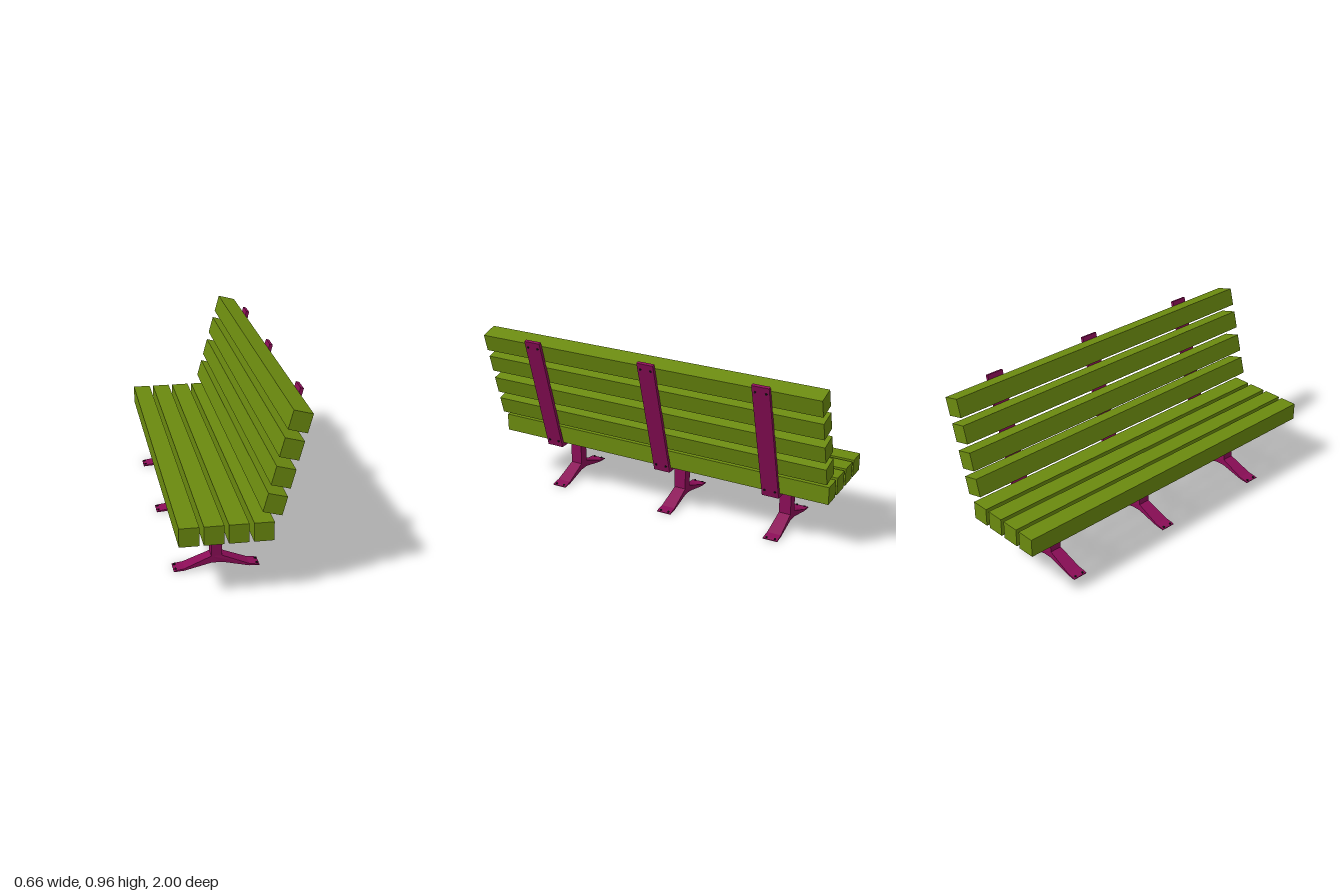
import * as THREE from 'three';

const WOOD = new THREE.MeshStandardMaterial({ color: 0x6b8a0f, flatShading: true });
const METAL = new THREE.MeshStandardMaterial({ color: 0x8b0d57, flatShading: true });
const BOLT = new THREE.MeshStandardMaterial({ color: 0x161616, flatShading: true });

const LEAN = THREE.MathUtils.degToRad(15);
const PLATE_W = 0.096;
const POST_X = -0.096;

function add(parent, name, geometry, material, x = 0, y = 0, z = 0, tilt = 0) {
  const mesh = new THREE.Mesh(geometry, material);
  mesh.name = name;
  mesh.position.set(x, y, z);
  mesh.rotation.z = tilt;
  parent.add(mesh);
  return mesh;
}

// Extrudes an xy outline, centred on z
function profile(points, width) {
  const shape = new THREE.Shape(points.map(([x, y]) => new THREE.Vector2(x, y)));
  const g = new THREE.ExtrudeGeometry(shape, { depth: width, bevelEnabled: false });
  return g.translate(0, 0, -width / 2);
}

// Arched foot that widens towards its tips
function footGeometry() {
  const half = [[0.028, 0.071], [0.168, 0.014], [0.21, 0.008], [0.223, 0.004],
    [0.223, 0], [0.168, 0.003], [0.028, 0.033]];
  const left = half.map(([x, y]) => [-x, y]).reverse();
  const g = profile([...half, ...left], 0.068);
  const p = g.attributes.position;
  for (let i = 0; i < p.count; i++) {
    const reach = Math.max(0, Math.abs(p.getX(i)) - 0.028) / 0.195;
    p.setZ(i, p.getZ(i) * (1 + 0.25 * reach));
  }
  g.computeVertexNormals();
  return g;
}

function createSupport() {
  const support = new THREE.Group();
  support.name = 'support';

  add(support, 'foot', footGeometry(), METAL, POST_X);
  add(support, 'post', new THREE.BoxGeometry(0.056, 0.235, 0.068), METAL, POST_X, 0.1575);

  // Bent strap under the seat and up behind the backrest
  add(support, 'strap', profile([[-0.29, 0.272], [0.146, 0.272], [0.33, 0.958],
    [0.313, 0.963], [0.134, 0.297], [-0.29, 0.297]], PLATE_W), METAL);

  // Bolt pairs: x, y, tilt, spread
  const bolts = [
    [-0.308, 0.008, 0.15, 0.024], [0.115, 0.008, -0.15, 0.024],
    [-0.26, 0.27, 0, 0.03], [0.085, 0.27, 0, 0.03],
    [0.157, 0.31, Math.PI / 2 - LEAN, 0.03], [0.321, 0.923, Math.PI / 2 - LEAN, 0.03],
  ];
  const head = new THREE.CylinderGeometry(0.006, 0.006, 0.008, 8);
  for (const [x, y, tilt, spread] of bolts)
    for (const side of [-1, 1]) add(support, 'bolt', head, BOLT, x, y, side * spread, tilt);
  return support;
}

export function createModel() {
  const bench = new THREE.Group();
  bench.name = 'bench';
  const slat = new THREE.BoxGeometry(0.099, 0.099, 2);

  // Seat slats
  for (const x of [-0.283, -0.162, -0.04, 0.083]) add(bench, 'seatSlat', slat, WOOD, x, 0.346);

  // Backrest slats, leaning with the strap
  for (const [x, y] of [[0.134, 0.487], [0.171, 0.625], [0.208, 0.767], [0.246, 0.903]])
    add(bench, 'backSlat', slat, WOOD, x, y, 0, -LEAN);

  // Three supports along the length
  for (const z of [-0.683, -0.035, 0.663]) {
    const support = createSupport();
    support.position.z = z;
    bench.add(support);
  }
  return bench;
}
